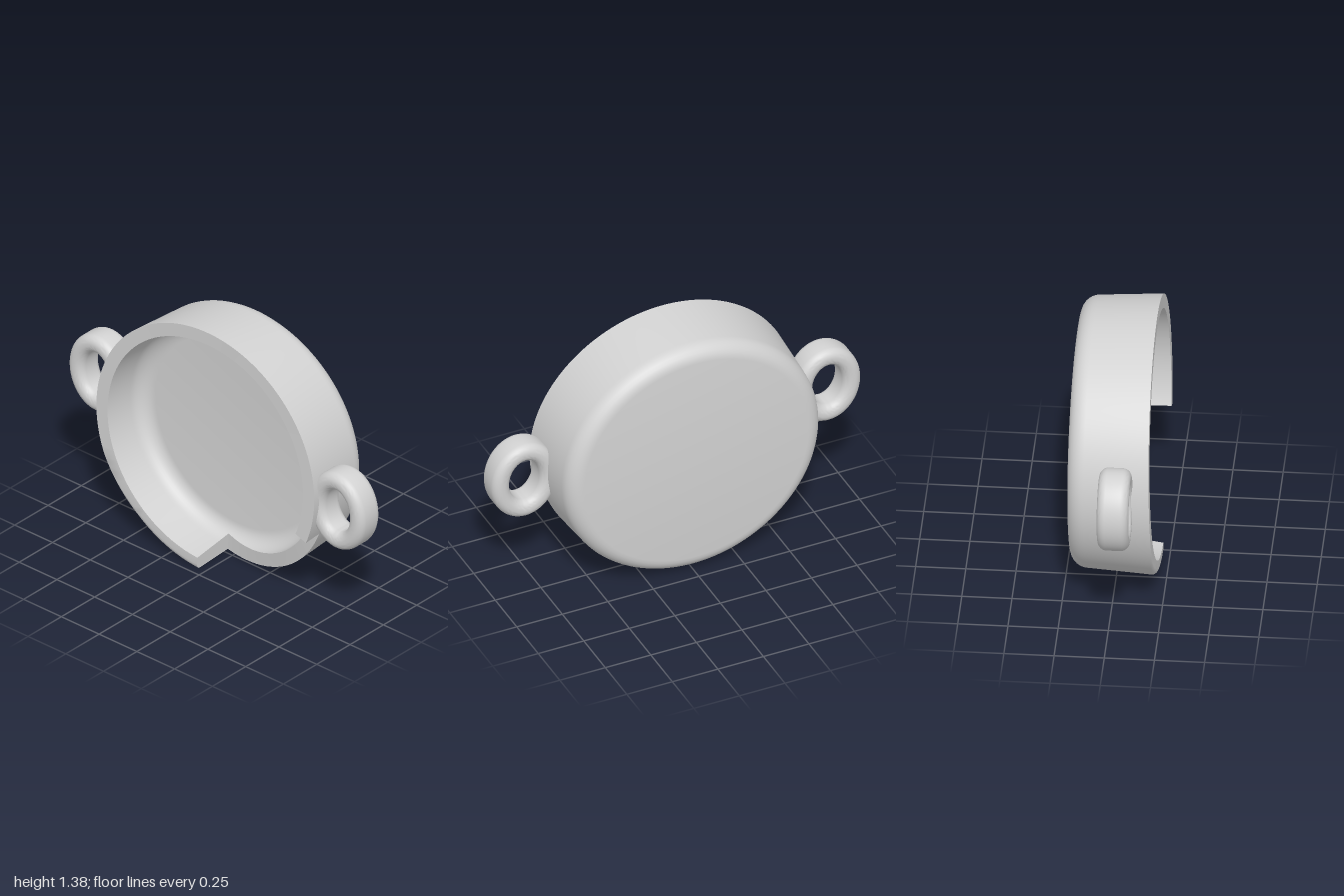
import * as THREE from 'three';
import { toCreasedNormals } from 'three/addons/utils/BufferGeometryUtils.js';

const CENTER_X = -0.003, CENTER_Y = 0.692, SQUASH = 0.957;
const rad = THREE.MathUtils.degToRad;
const CHIP_START = rad(266.7), CHIP_END = rad(338.6), WORN_START = rad(203);

// inside floor height and the fillet between floor and wall
const FLOOR_Z = -0.045, FILLET = 0.09, FILLET_TOP = FLOOR_Z + FILLET, WALL_R = 0.635;

// wall radii taper slightly towards the back
const outerR = z => 0.70 + 0.021 * (z + 0.13) / 0.33;
const innerR = z => WALL_R + 0.012 * (z - FILLET_TOP) / 0.155;

// cross-section [radius, z] from back centre, over the rim, to inside centre
function section(t, chipped) {
  const p = [[0, -0.215]];
  for (let i = 0; i <= 7; i++) {
    const a = (i / 7) * Math.PI / 2;
    p.push([0.615 + 0.085 * Math.sin(a), -0.13 - 0.085 * Math.cos(a)]);
  }
  // rim is slightly slanted; the chip floor slopes down to one end
  const rim = chipped
    ? 0.1 - 0.165 * (0.66 - 0.71 * Math.cos(t))
    : 0.2 - 0.017 * Math.sin(t);
  // worn, rounded outer edge on the lower right of the rim
  const worn = !chipped && t > WORN_START ? Math.min(1, (t - WORN_START) / 0.5) : 0;
  const w = 0.03 * worn, d = 0.022 * worn;
  for (let i = 0; i <= 4; i++) {
    const a = (i / 4) * Math.PI / 2;
    p.push([outerR(rim - d) - w * (1 - Math.cos(a)), rim - d * (1 - Math.sin(a))]);
  }
  // inside wall, or the cut fillet where the chip reaches below it
  const cut = Math.asin(Math.max(0, FILLET_TOP - rim) / FILLET);
  if (cut === 0) p.push([innerR(rim), rim]);
  else p.push([WALL_R - FILLET * (1 - Math.cos(cut)), rim]);
  for (let i = 0; i <= 9; i++) {
    const a = Math.max(cut, (i / 9) * Math.PI / 2);
    p.push([WALL_R - FILLET * (1 - Math.cos(a)), FILLET_TOP - FILLET * Math.sin(a)]);
  }
  p.push([0, FLOOR_Z]);
  return p;
}

function dishGeometry() {
  const columns = [];
  const sweep = (from, to, steps, chipped) => {
    for (let i = 0; i <= steps; i++) {
      const t = from + (to - from) * i / steps;
      columns.push(section(t, chipped).map(([r, z]) => new THREE.Vector3(
        CENTER_X + r * Math.cos(t), CENTER_Y + SQUASH * r * Math.sin(t), z)));
    }
  };
  sweep(CHIP_END - 2 * Math.PI, CHIP_START, 120, false);
  sweep(CHIP_START, CHIP_END, 32, true);
  columns.push(columns[0]);

  const positions = [];
  const tri = new THREE.Triangle();
  const add = (a, b, c) => {
    if (tri.set(a, b, c).getArea() < 1e-8) return;
    for (const v of [a, b, c]) positions.push(v.x, v.y, v.z);
  };
  for (let i = 0; i < columns.length - 1; i++) {
    const A = columns[i], B = columns[i + 1];
    for (let j = 0; j < A.length - 1; j++) {
      add(A[j], B[j], B[j + 1]);
      add(A[j], B[j + 1], A[j + 1]);
    }
  }
  const g = new THREE.BufferGeometry();
  g.setAttribute('position', new THREE.Float32BufferAttribute(positions, 3));
  return toCreasedNormals(g, 0.6);
}

// oval ring with a rounded, deep cross-section of even width
function handleGeometry() {
  const n = 32, corner = 0.045, halfW = 0.0485, halfD = 0.079, pts = [];
  for (let i = 0; i < n; i++) {
    const a = ((i + 0.5) / n) * Math.PI * 2, c = Math.cos(a), s = Math.sin(a);
    pts.push(new THREE.Vector2(
      0.132 + Math.sign(c) * (halfW - corner) + corner * c,
      Math.sign(s) * (halfD - corner) + corner * s));
  }
  pts.push(pts[0].clone());
  const g = new THREE.LatheGeometry(pts, 64);
  g.rotateX(Math.PI / 2);
  // lengthen the round ring into an oval
  const pos = g.attributes.position;
  for (let i = 0; i < pos.count; i++) {
    const x = pos.getX(i), y = pos.getY(i);
    pos.setY(i, y + 0.036 * y / Math.hypot(x, y));
  }
  return toCreasedNormals(g, 0.8);
}

export function createModel() {
  const model = new THREE.Group();
  const clay = new THREE.MeshStandardMaterial({ color: 0xd2d2d2 });
  clay.name = 'greyClay';

  const dish = new THREE.Mesh(dishGeometry(), clay);
  dish.name = 'chippedDish';
  model.add(dish);

  // the two handles sit at different heights and depths
  const ring = handleGeometry();
  for (const [name, x, y, z] of [
    ['rightHandle', -0.8195, 0.77, 0.037],
    ['leftHandle', 0.8195, 0.657, 0.089],
  ]) {
    const handle = new THREE.Mesh(ring, clay);
    handle.name = name;
    handle.position.set(x, y, z);
    model.add(handle);
  }
  return model;
}
